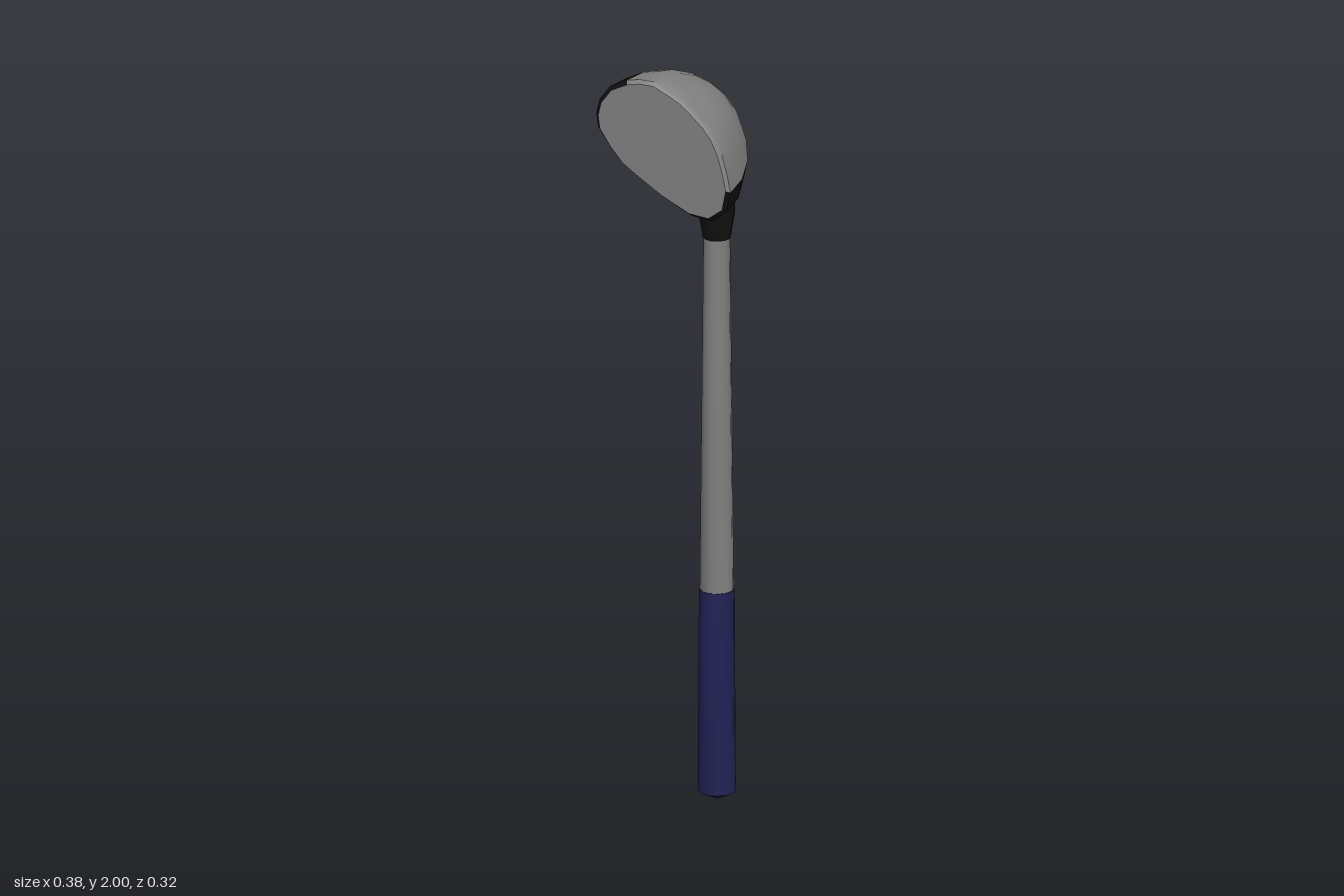
import * as THREE from 'three';
import { toCreasedNormals } from 'three/addons/utils/BufferGeometryUtils.js';

const mat = (name, color) => new THREE.MeshStandardMaterial({ name, color });

// Head layers from sole to crown: height, left edge, right edge, rearmost z
const LAYERS = [
  [-0.126, -0.05, -0.05, 0.1],
  [-0.12, -0.1, -0.0, 0.03],
  [-0.105, -0.16, 0.09, -0.03],
  [-0.08, -0.19, 0.178, -0.085],
  [-0.045, -0.209, 0.226, -0.135],
  [0.005, -0.214, 0.236, -0.16],
  [0.055, -0.194, 0.206, -0.148],
  [0.085, -0.172, 0.165, -0.12],
  [0.113, -0.14, 0.12, -0.07],
  [0.13, -0.085, 0.08, -0.01],
  [0.138, -0.05, 0.04, 0.05],
  [0.139, -0.005, -0.005, 0.1],
];
const SPLIT = 6; // layer where the sole meets the crown
const RIM_Z = 0.147, FACE_Z = 0.157, INSET = 0.95, SEGMENTS = 10;

// One layer: bevel point, half-ellipse round the back, bevel point
function layerPoints([h, left, right, back]) {
  const mid = (left + right) / 2, half = (right - left) / 2;
  const points = [[left * INSET, h * INSET, FACE_Z]];
  for (let i = 0; i <= SEGMENTS; i++) {
    const a = (i / SEGMENTS) * Math.PI;
    points.push([mid - half * Math.cos(a), h, RIM_Z - (RIM_Z - back) * Math.sin(a)]);
  }
  points.push([right * INSET, h * INSET, FACE_Z]);
  return points;
}

// Skin between successive layers
function loft(layers) {
  const rows = layers.map(layerPoints), n = rows[0].length, index = [];
  for (let i = 0; i < rows.length - 1; i++) {
    for (let j = 0; j < n - 1; j++) {
      const a = i * n + j, b = a + n;
      index.push(a, b, a + 1, a + 1, b, b + 1);
    }
  }
  const geometry = new THREE.BufferGeometry();
  geometry.setAttribute('position', new THREE.Float32BufferAttribute(rows.flat(2), 3));
  geometry.setIndex(index);
  return toCreasedNormals(geometry, 0.7);
}

export function createModel() {
  const model = new THREE.Group();
  model.name = 'golfClub';
  const steel = mat('steelGrey', 0x808080);
  const black = mat('soleBlack', 0x101010);
  const navy = mat('gripNavy', 0x222255);

  const add = (parent, name, geometry, material) => {
    const mesh = new THREE.Mesh(geometry, material);
    mesh.name = name;
    parent.add(mesh);
    return mesh;
  };

  // Club head, tilted about the z axis
  const head = new THREE.Group();
  head.name = 'head';
  head.position.y = 1.82;
  head.rotation.z = -0.735;
  model.add(head);
  add(head, 'sole', loft(LAYERS.slice(0, SPLIT + 1)), black);
  add(head, 'crown', loft(LAYERS.slice(SPLIT)), steel);

  // Flat striking face
  const edge = (k) => LAYERS.map((l) => new THREE.Vector2(l[k] * INSET, l[0] * INSET));
  const outline = [...edge(2), ...edge(1).slice(1, -1).reverse()];
  const face = add(head, 'strikingFace', new THREE.ShapeGeometry(new THREE.Shape(outline)), steel);
  face.position.z = FACE_Z;

  // Hosel, shaft and grip share one upright axis
  const stick = (name, profile, material) => {
    const points = profile.map(([r, y]) => new THREE.Vector2(r, y));
    const geometry = toCreasedNormals(new THREE.LatheGeometry(points, 12), 0.7);
    add(model, name, geometry, material).position.set(0.125, 0, 0.09);
  };
  stick('hosel', [[0, 1.57], [0.037, 1.57], [0.048, 1.64], [0.048, 1.68], [0, 1.7]], black);
  stick('shaft', [[0.045, 0.58], [0.035, 1.575]], steel);
  stick('grip', [[0, 0.003], [0.05, 0.028], [0.047, 0.59], [0, 0.59]], navy);

  return model;
}
